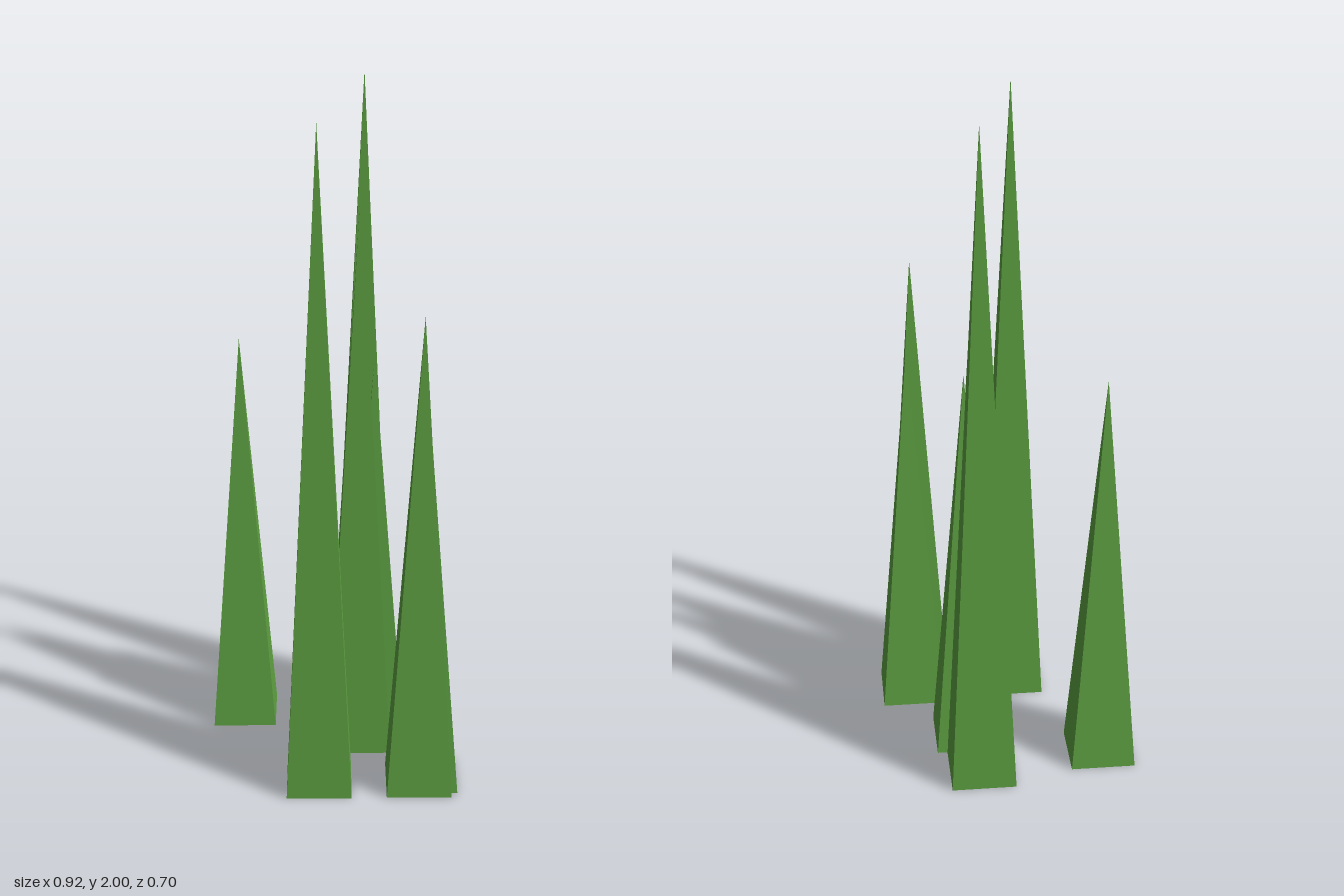
import * as THREE from 'three';

export function createModel() {
  const model = new THREE.Group();
  const material = new THREE.MeshStandardMaterial({ color: 0x5fa343, flatShading: true });
  const radius = 0.133;

  // Four-sided grass blades: x, z, height
  const blades = [
    [-0.33, 0.085, 1.23],
    [-0.122, -0.218, 2.0],
    [0.124, 0.215, 1.97],
    [0.033, -0.104, 1.21],
    [0.031, -0.045, 1.7],
    [0.323, -0.021, 1.16],
    [0.327, 0.008, 1.44],
  ];
  blades.forEach(([x, z, height], i) => {
    const blade = new THREE.Mesh(new THREE.ConeGeometry(radius, height, 4), material);
    blade.name = `grassBlade${i + 1}`;
    blade.position.set(x, height / 2, z);
    model.add(blade);
  });

  return model;
}
